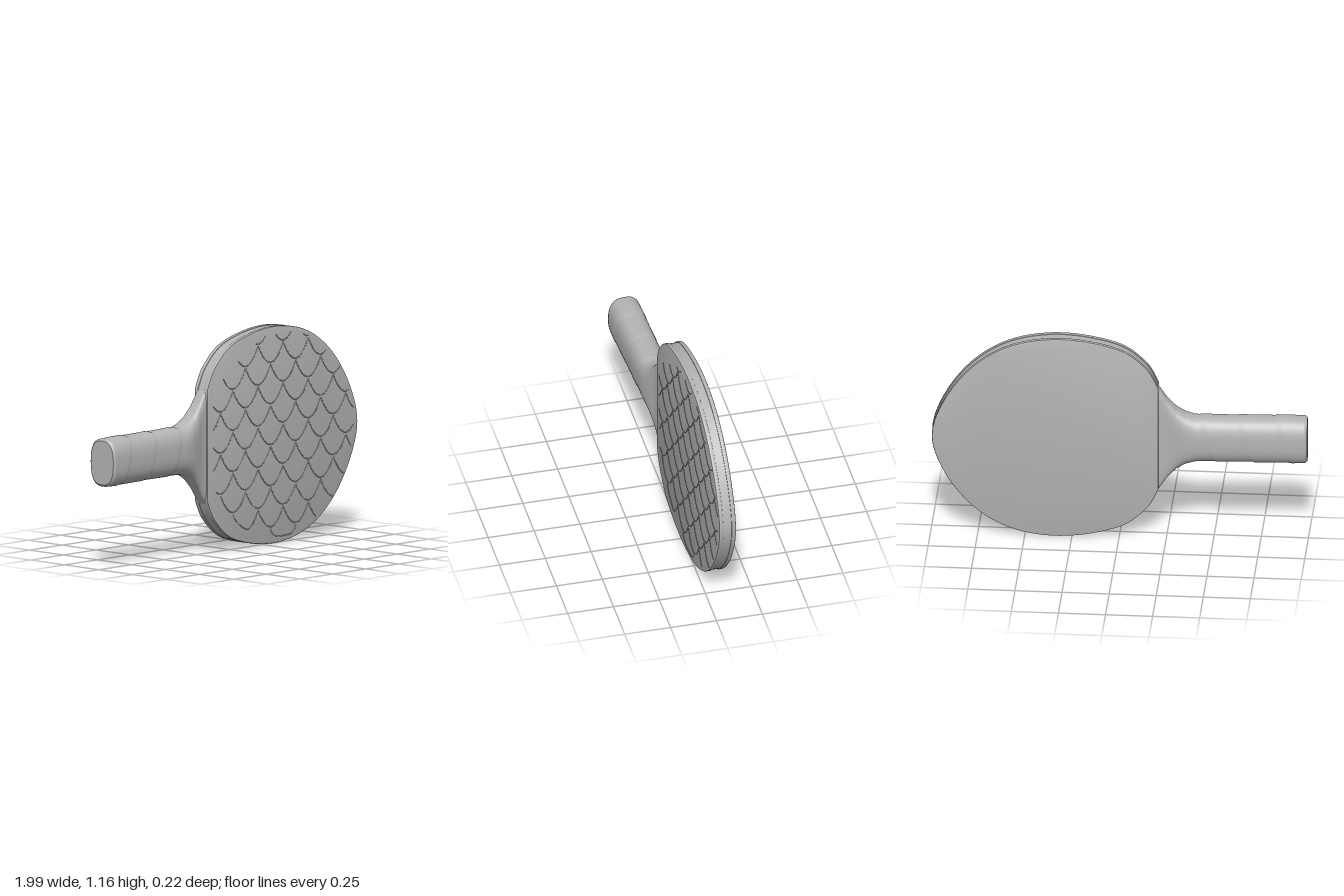
import * as THREE from 'three';
import { toCreasedNormals } from 'three/addons/utils/BufferGeometryUtils.js';

const MID = 0.59; // height of the paddle's long axis

// Upper half of the blade outline: x, height above the axis
const HALF = [[-0.205, 0.3], [-0.14, 0.415], [0.01, 0.525], [0.3, 0.58], [0.57, 0.54],
  [0.78, 0.41], [0.93, 0.21]];

function bladeShape(inset) {
  const k = 1 - inset / 0.58;
  const pts = [...HALF, [0.995, 0], ...HALF.slice().reverse().map(([x, y]) => [x, -y])]
    .map(([x, y]) => new THREE.Vector2(0.3 + (x - 0.3) * k, y * k));
  return new THREE.Shape(new THREE.SplineCurve(pts).getPoints(96));
}

function slab(name, material, inset, z0, depth, bevel) {
  const geo = new THREE.ExtrudeGeometry(bladeShape(inset + bevel), {
    depth: depth - 2 * bevel, bevelEnabled: bevel > 0, bevelSize: bevel,
    bevelThickness: bevel, bevelSegments: 2,
  });
  geo.translate(0, MID, z0 + bevel);
  const mesh = new THREE.Mesh(toCreasedNormals(geo, 0.6), material);
  mesh.name = name;
  return mesh;
}

// Handle stations: x, half height, half depth, squareness
const STATIONS = [[-0.995, 0.118, 0.08, 2.6], [-0.985, 0.128, 0.089, 2.6], [-0.9, 0.13, 0.09, 2.6],
  [-0.7, 0.127, 0.088, 2.6], [-0.5, 0.127, 0.087, 2.6], [-0.4, 0.128, 0.085, 2.7],
  [-0.35, 0.142, 0.078, 3], [-0.3, 0.174, 0.064, 3.5], [-0.25, 0.228, 0.047, 5],
  [-0.22, 0.275, 0.042, 6], [-0.195, 0.31, 0.04, 6]];

function handleRing(x, sides) {
  let i = 0;
  while (i < STATIONS.length - 2 && x > STATIONS[i + 1][0]) i++;
  const a = STATIONS[i], b = STATIONS[i + 1];
  const t = (x - a[0]) / (b[0] - a[0]);
  const [, hy, hz, n] = a.map((v, k) => v + (b[k] - v) * t);
  const grip = x < -0.35 ? 1 : 0;
  return Array.from({ length: sides }, (_, j) => {
    const u = j / sides * Math.PI * 2, c = Math.cos(u), s = Math.sin(u);
    // slanted overlaps of the wound grip tape
    const turn = (x + 1.07 - 0.04 * c) / 0.2;
    const r = 1 + grip * 0.025 * (turn - Math.floor(turn) - 0.5);
    return [x, 0.583 + hy * r * Math.sign(c) * Math.abs(c) ** (2 / n),
      hz * r * Math.sign(s) * Math.abs(s) ** (2 / n)];
  });
}

function buildHandle(material) {
  const sides = 40, steps = 80, group = new THREE.Group();
  group.name = 'handle';
  const pos = [], index = [];
  for (let i = 0; i <= steps; i++) {
    handleRing(-0.995 + 0.8 * i / steps, sides).forEach((p) => pos.push(...p));
    if (i === steps) break;
    for (let j = 0; j < sides; j++) {
      const a = i * sides + j, b = i * sides + (j + 1) % sides;
      index.push(a, b, a + sides, b, b + sides, a + sides);
    }
  }
  const geo = new THREE.BufferGeometry();
  geo.setAttribute('position', new THREE.Float32BufferAttribute(pos, 3));
  geo.setIndex(index);
  geo.computeVertexNormals();
  const grip = new THREE.Mesh(geo, material);
  grip.name = 'gripAndNeck';

  // flat butt of the handle
  const capPos = [-0.995, 0.583, 0], capIndex = [];
  handleRing(-0.995, sides).forEach((p, j) => {
    capPos.push(...p);
    capIndex.push(0, 1 + (j + 1) % sides, 1 + j);
  });
  const capGeo = new THREE.BufferGeometry();
  capGeo.setAttribute('position', new THREE.Float32BufferAttribute(capPos, 3));
  capGeo.setIndex(capIndex);
  capGeo.computeVertexNormals();
  const cap = new THREE.Mesh(capGeo, material);
  cap.name = 'buttEnd';
  group.add(grip, cap);
  return group;
}

// Shallow staggered scallop ridges on the front rubber
function buildScales(material, z) {
  const group = new THREE.Group();
  group.name = 'scaleRelief';
  const w = 0.2, rowStep = 0.11;
  const inside = (x, y) => x > -0.18 && ((x - 0.38) / 0.59) ** 2 + (y / 0.55) ** 2 < 1;
  for (let row = -5; row <= 5; row++) {
    for (let col = -3; col <= 5; col++) {
      const cx = 0.3 + (col + (row & 1 ? 0.5 : 0)) * w, cy = row * rowStep;
      const pts = [];
      for (let k = 0; k <= 10; k++) {
        const s = k / 5 - 1, x = cx + s * w / 2;
        const y = cy + 0.1 * (s * s - 0.5);
        if (inside(x, y)) pts.push(new THREE.Vector3(x, y + MID, z));
      }
      if (pts.length < 3) continue;
      const ridge = new THREE.Mesh(
        new THREE.TubeGeometry(new THREE.CatmullRomCurve3(pts), 10, 0.003, 5), material);
      ridge.name = 'scaleRidge';
      group.add(ridge);
    }
  }
  return group;
}

export function createModel() {
  const grey = new THREE.MeshStandardMaterial({ color: 0xb4b4b4 });
  grey.name = 'plainGrey';

  const paddle = new THREE.Group();
  paddle.name = 'paddle';
  paddle.add(
    slab('bladeCore', grey, 0.004, -0.027, 0.054, 0),
    slab('frontRubber', grey, 0, 0.022, 0.024, 0.005),
    slab('backRubber', grey, 0, -0.046, 0.024, 0.005),
    buildScales(grey, 0.0455),
    buildHandle(grey),
  );
  // the paddle is turned slightly away from the front
  paddle.rotation.y = 0.042;
  paddle.position.z = -0.022;

  const model = new THREE.Group();
  model.name = 'tableTennisPaddle';
  model.add(paddle);
  return model;
}
